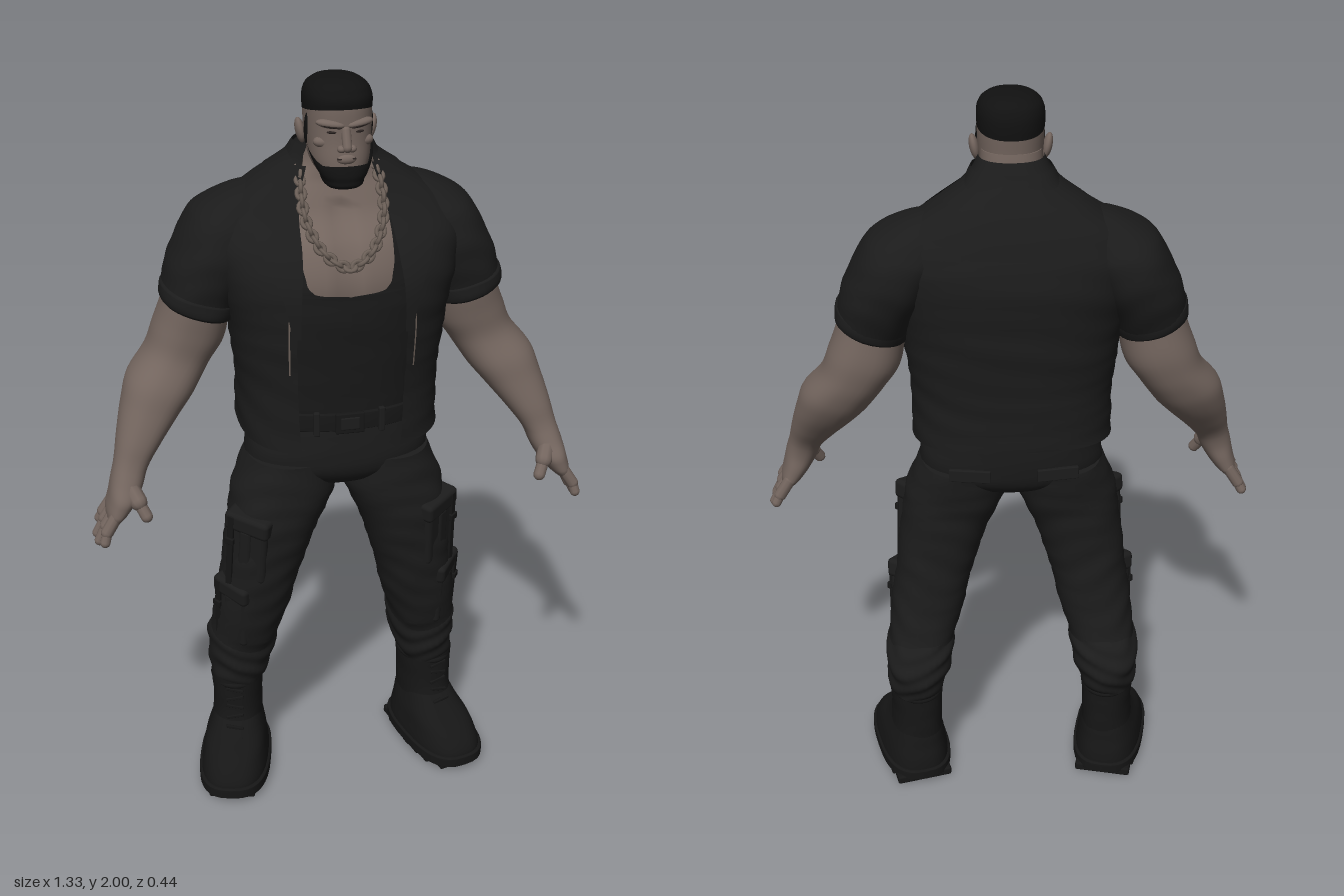
import * as THREE from 'three';
import { RoundedBoxGeometry } from 'three/addons/geometries/RoundedBoxGeometry.js';

const mat = (name, color, side = THREE.FrontSide) => {
  const m = new THREE.MeshStandardMaterial({ color, side });
  m.name = name;
  return m;
};

// Smooth skin over horizontal superellipse rings [y, x, z, rx, rz, (front gap), (strip outer x)].
// A front gap leaves the skin open at +z; an outer x keeps only a strip on the +x side.
function loft(list, { p = 2.3, seg = 36, sub = 5, wr = 0, tilt = 0, warp } = {}) {
  const R = [...list].sort((a, b) => a[0] - b[0]), n = R[0].length;
  const open = n > 5, strip = n > 6, cols = open ? seg + 1 : seg;
  const secant = (i, k) => (R[i + 1][k] - R[i][k]) / (R[i + 1][0] - R[i][0]);
  const slope = (i, k) => {
    if (i === 0) return secant(0, k);
    if (i === R.length - 1) return secant(i - 1, k);
    const a = secant(i - 1, k), b = secant(i, k);
    return a * b <= 0 ? 0 : Math.sign(a) * Math.min(Math.abs(a + b) / 2, 3 * Math.abs(a), 3 * Math.abs(b));
  };
  const rows = [];
  for (let i = 0; i < R.length - 1; i++) for (let s = 0; s < sub; s++) {
    const t = s / sub, h = R[i + 1][0] - R[i][0], t2 = t * t, t3 = t2 * t;
    rows.push(R[i].map((v, k) => k === 0 ? v + h * t
      : (2 * t3 - 3 * t2 + 1) * v + (t3 - 2 * t2 + t) * h * slope(i, k)
      + (3 * t2 - 2 * t3) * R[i + 1][k] + (t3 - t2) * h * slope(i + 1, k)));
  }
  rows.push(R[R.length - 1]);
  const pow = c => Math.sign(c) * Math.abs(c) ** (2 / p);
  const pos = [], idx = [], v = new THREE.Vector3();
  for (const [y, x, z, rx, rz, gap = 0, outer = 0] of rows) {
    const th = g => Math.acos(Math.min(1, Math.max(0, g / rx)) ** (p / 2));
    const a0 = th(gap), a1 = strip ? th(outer) : -Math.PI - a0;
    for (let j = 0; j < cols; j++) {
      const a = a0 + (a1 - a0) * j / seg;
      const f = 1 + wr * (Math.sin(y * 95 + 3 * Math.sin(a * 2 + y * 9)) + 0.6 * Math.sin(y * 41 - 4 * Math.cos(a)));
      const dx = rx * f * pow(Math.cos(a));
      v.set(x + dx, y + tilt * dx, z + rz * f * pow(Math.sin(a)));
      if (warp) warp(v);
      pos.push(v.x, v.y, v.z);
    }
  }
  for (let i = 0; i < rows.length - 1; i++) for (let j = 0; j < seg; j++) {
    const a = i * cols + j, b = i * cols + (j + 1) % cols, c = a + cols, d = b + cols;
    idx.push(a, b, c, b, d, c);
  }
  if (!open) for (const i of [0, rows.length - 1]) {
    const base = pos.length / 3;
    for (let k = 0; k < cols * 3; k++) pos.push(pos[i * cols * 3 + k]);
    pos.push(rows[i][1], rows[i][0], rows[i][2]);
    for (let j = 0; j < cols; j++) {
      const a = base + j, b = base + (j + 1) % cols, c = base + cols;
      i ? idx.push(c, a, b) : idx.push(c, b, a);
    }
  }
  const g = new THREE.BufferGeometry();
  g.setAttribute('position', new THREE.Float32BufferAttribute(pos, 3));
  g.setIndex(idx);
  g.computeVertexNormals();
  return g;
}

const place = (g, x, y, z, rx = 0, ry = 0, rz = 0) =>
  g.applyMatrix4(new THREE.Matrix4().makeRotationFromEuler(new THREE.Euler(rx, ry, rz, 'YXZ')).setPosition(x, y, z));
const box = (w, h, d, ...at) => place(new RoundedBoxGeometry(w, h, d, 2, Math.min(w, h, d) * 0.25), ...at);
const ball = (a, b, c, ...at) => place(new THREE.SphereGeometry(1, 18, 12).scale(a, b, c), ...at);
function capsule(a, b, r) {
  const A = new THREE.Vector3(...a), B = new THREE.Vector3(...b), d = B.clone().sub(A);
  const q = new THREE.Quaternion().setFromUnitVectors(new THREE.Vector3(0, 1, 0), d.clone().normalize());
  return new THREE.CapsuleGeometry(r, d.length(), 5, 10).applyQuaternion(q).translate(...A.add(B).multiplyScalar(0.5).toArray());
}
function mirror(src) {
  const g = src.clone().applyMatrix4(new THREE.Matrix4().makeScale(-1, 1, 1));
  const ix = g.index ? Array.from(g.index.array) : Array.from({ length: g.attributes.position.count }, (_, i) => i);
  for (let i = 0; i < ix.length; i += 3) [ix[i], ix[i + 1]] = [ix[i + 1], ix[i]];
  g.setIndex(ix);
  return g;
}

export function createModel() {
  const root = new THREE.Group();
  root.name = 'muscularMan';
  const skin = mat('skin', 0x73655e), hair = mat('hair', 0x111111, THREE.DoubleSide);
  const vestCloth = mat('vest cloth', 0x1b1b1b, THREE.DoubleSide), tankCloth = mat('tank cloth', 0x191919, THREE.DoubleSide);
  const trouser = mat('trouser cloth', 0x1c1c1c), leather = mat('leather', 0x161616), metal = mat('metal', 0x6c6058);
  const dark = mat('dark line', 0x2a2321);
  const add = (name, g, m) => { const o = new THREE.Mesh(g, m); o.name = name; root.add(o); };
  const pair = (name, g, m) => { add(name + 'Left', g, m); add(name + 'Right', mirror(g), m); };

  // Chest and neck, with a groove between the pectorals
  add('chestAndNeck', loft([[1.4, 0, 0, .22, .165], [1.5, 0, 0, .245, .178], [1.6, 0, -.02, .24, .17], [1.68, 0, -.045, .22, .134],
    [1.74, 0, -.045, .155, .11], [1.78, 0, -.03, .1, .092], [1.82, 0, -.012, .08, .076], [1.87, 0, -.003, .075, .073]], {
    seg: 64, warp: v => { if (v.z > 0 && v.y < 1.7) v.z -= .014 * Math.exp(-((v.x / .016) ** 2)); } }), skin);

  // Head, ears, nose, brows and eyes
  add('head', loft([[1.746, 0, .083, .026, .034], [1.77, 0, .068, .051, .066], [1.8, 0, .045, .07, .089], [1.84, 0, .03, .078, .1],
    [1.88, 0, .026, .081, .101], [1.93, 0, .024, .082, .103], [1.97, 0, .022, .072, .088], [1.99, 0, .02, .045, .06]]), skin);
  pair('ear', ball(.012, .032, .02, .089, 1.865, .012, 0, 0, -.2), skin);
  add('nose', capsule([0, 1.885, .122], [0, 1.848, .138], .012), skin);
  pair('nostril', ball(.011, .009, .012, .013, 1.844, .132), skin);
  pair('cheek', ball(.03, .016, .02, .044, 1.855, .092), skin);
  pair('browRidge', ball(.036, .011, .016, .036, 1.901, .113, 0, .3, .12), skin);
  pair('eyebrow', ball(.027, .0035, .006, .037, 1.897, .123, 0, .35, .15), dark);
  pair('eye', ball(.012, .0035, .005, .034, 1.882, .119, 0, .3), dark);
  add('mouth', box(.046, .0035, .008, 0, 1.82, .133), dark);
  add('lips', ball(.024, .012, .01, 0, 1.818, .129), skin);

  // Cropped hair, beard rising along the jaw, and sideburns
  add('hair', loft([[1.915, 0, .023, .0825, .1035], [1.935, 0, .023, .0835, .105], [1.965, 0, .022, .08, .099], [1.985, 0, .022, .064, .082],
    [1.996, 0, .02, .037, .05], [2, 0, .02, .006, .01]], { warp: v => { v.y += .16 * (v.z + .01) * Math.max(0, (1.97 - v.y) / .06); } }), hair);
  add('beard', loft([[1.738, 0, -.083, .006, .008, .0058], [1.743, 0, -.083, .032, .042, .031], [1.767, 0, -.072, .057, .073, .055],
    [1.79, 0, -.054, .075, .09, .073], [1.803, 0, -.046, .081, .094, .079]], {
    warp: v => { v.y += .6 * Math.max(0, v.z + .12) * (v.y - 1.738) / .065; } }).rotateY(Math.PI), hair);
  pair('sideburn', ball(.006, .04, .012, .079, 1.877, .042, .2), hair);

  // Scoop-neck tank top
  add('tankTop', loft([[1.13, 0, .005, .225, .16, 0], [1.22, 0, .005, .235, .168, 0], [1.35, 0, .005, .25, .18, 0], [1.45, 0, .003, .255, .188, 0],
    [1.49, 0, 0, .255, .188, 0], [1.496, 0, 0, .255, .187, .07], [1.506, 0, 0, .255, .186, .095], [1.54, 0, -.005, .253, .183, .11],
    [1.6, 0, -.02, .247, .177, .116], [1.68, 0, -.045, .227, .141, .116], [1.74, 0, -.045, .163, .117, .106]],
    { seg: 60, wr: .003 }), tankCloth);

  // Open vest, with lapels, collar and zips following its surface
  const vest = [[1.105, 0, 0, .263, .208, .13], [1.2, 0, 0, .26, .206, .135], [1.3, 0, .002, .267, .21, .138], [1.4, 0, .002, .28, .218, .14],
    [1.5, 0, -.002, .3, .22, .137], [1.6, 0, -.022, .32, .198, .127], [1.68, 0, -.046, .285, .147, .12], [1.74, 0, -.05, .202, .116, .105],
    [1.785, 0, -.042, .13, .093, .09], [1.83, 0, -.026, .098, .08, .082]];
  const hem = v => { if (v.y < 1.3) v.y -= .13 * v.z * (1.3 - v.y) / .2; };
  add('vest', loft(vest, { p: 2.7, seg: 72, wr: .006, warp: hem }), vestCloth);
  const overlay = (lo, hi, grow, span) => loft(vest.filter(r => r[0] >= lo && r[0] <= hi)
    .map(([y, x, z, rx, rz, gap]) => [y, x, z, rx + grow, rz + grow, ...span(y, gap)]), { p: 2.7, seg: 14 });
  const lapelWidth = { 1.4: .012, 1.5: .035, 1.6: .085, 1.68: .11, 1.74: .075, 1.785: .025 };
  pair('lapel', overlay(1.4, 1.785, .008, (y, g) => [g - .008, g + lapelWidth[y]]), vestCloth);
  pair('zip', overlay(1.3, 1.5, .006, (y, g) => [g + .018, g + .022]), metal);
  add('collar', loft([[1.762, 0, -.048, .174, .112, .11], [1.79, 0, -.041, .132, .096, .095], [1.82, 0, -.025, .099, .084, .08],
    [1.852, 0, -.008, .08, .074, .072]]), vestCloth);

  // Sleeves flowing down from the shoulder slope, with rolled cuffs
  pair('sleeve', loft([[1.72, .175, -.055, .04, .05], [1.7, .19, -.055, .068, .08], [1.668, .23, -.055, .087, .114], [1.63, .265, -.055, .097, .14],
    [1.56, .302, -.05, .099, .151], [1.5, .332, -.045, .095, .142], [1.43, .355, -.037, .089, .124]], { tilt: .3, wr: .008 }), vestCloth);
  pair('sleeveCuff', loft([[1.418, .355, -.034, .086, .12], [1.425, .355, -.034, .092, .127], [1.455, .349, -.036, .094, .131],
    [1.463, .347, -.036, .089, .126]], { tilt: .3, wr: .008 }), vestCloth);

  // Bare arms, palms, fingers and thumbs
  pair('arm', loft([[1.5, .34, -.045, .08, .105], [1.42, .355, -.049, .085, .106], [1.35, .376, -.054, .09, .104], [1.29, .408, -.05, .083, .098],
    [1.23, .452, -.028, .087, .1], [1.17, .487, -.003, .075, .09], [1.1, .525, .035, .057, .071], [1.04, .553, .065, .043, .055],
    [1, .567, .08, .041, .06], [.96, .583, .09, .035, .072], [.93, .598, .09, .028, .072], [.912, .607, .09, .02, .066]], { tilt: .25 }), skin);
  [[.033, .024, .866, .641], [.07, .068, .846, .651], [.107, .112, .847, .649], [.142, .155, .862, .637]].forEach(([z0, z1, y, x], i) => {
    const mid = [.63, .887, (z0 + z1) / 2];
    pair('finger' + i, capsule([.602, .93, z0], mid, .0165), skin);
    pair('fingertip' + i, capsule(mid, [x, y, z1], .0135), skin);
  });
  pair('thumbBase', capsule([.565, 1, .11], [.545, .965, .145], .023), skin);
  pair('thumb', capsule([.545, .965, .145], [.528, .93, .163], .016), skin);

  // Neck chain of alternating links
  const path = new THREE.CatmullRomCurve3([[.088, 1.8, 0], [.1, 1.745, .06], [.095, 1.66, .117], [.055, 1.59, .161], [0, 1.562, .175],
    [-.055, 1.59, .161], [-.095, 1.66, .117], [-.1, 1.745, .06], [-.088, 1.8, 0]].map(a => new THREE.Vector3(...a)));
  const links = 38;
  for (let i = 0; i <= links; i++) {
    const t = path.getTangentAt(i / links);
    const g = new THREE.TorusGeometry(.0105, .0058, 6, 12).scale(1.25, 1, 1).rotateX(i % 2 ? .9 : -.6);
    g.applyQuaternion(new THREE.Quaternion().setFromUnitVectors(new THREE.Vector3(1, 0, 0), t));
    add('chainLink' + i, g.translate(...path.getPointAt(i / links).toArray()), metal);
  }

  // Hips, belt and buckle
  add('hips', loft([[1.17, 0, .003, .224, .156], [1.1, 0, .005, .236, .162], [1.02, 0, .01, .245, .157], [.97, 0, .012, .2, .135],
    [.94, 0, .015, .09, .09], [.93, 0, .015, .03, .05]], { wr: .004 }), trouser);
  add('belt', loft([[1.122, 0, .005, .234, .166], [1.126, 0, .005, .24, .172], [1.168, 0, .005, .236, .17], [1.172, 0, .005, .23, .164]]), leather);
  add('buckle', box(.075, .056, .014, 0, 1.147, .178), leather);
  add('bucklePlate', box(.05, .034, .014, 0, 1.147, .181), trouser);
  pair('beltLoop', box(.016, .066, .014, .085, 1.147, .171, 0, .12), trouser);
  pair('backPocketFlap', box(.11, .035, .012, .115, 1.03, -.142, 0, -.15), trouser);

  // Trouser legs, with bunched folds above the boots
  pair('trouserLeg', loft([[1.02, .125, .01, .118, .15], [.93, .144, .02, .137, .143], [.85, .17, .025, .127, .137], [.75, .196, .022, .115, .127],
    [.65, .217, .013, .106, .12], [.55, .237, -.001, .102, .114], [.45, .257, -.024, .092, .111], [.4, .264, -.04, .088, .11]], { wr: .014 }), trouser);
  pair('trouserFolds', loft([[.47, .252, -.022, .088, .108], [.42, .262, -.04, .094, .118], [.36, .268, -.048, .089, .115], [.31, .274, -.047, .08, .1],
    [.285, .277, -.046, .07, .09]], { wr: .032, sub: 9 }), trouser);

  // Cargo pockets with flaps and straps
  [[.254, .775, .1, .12, .2, .7], [.288, .55, .05, .11, .2, .95]].forEach(([x, y, z, w, h, yaw], i) => {
    const part = (name, bw, bh, bd, dx, dy, out, m) =>
      pair(name + i, place(box(bw, bh, bd, dx, dy, out), x, y, z, .1, yaw, .13), m);
    part('cargoPocket', w, h, .058, 0, 0, 0, trouser);
    part('pocketPleat', w * .3, h * .8, .063, 0, -.015, .003, trouser);
    part('pocketFlap', w + .012, .055, .069, 0, h / 2 - .02, 0, trouser);
    part('pocketStrap', .018, h + .04, .01, w * .36, -.02, .031, leather);
    part('strapBuckle', .026, .02, .012, w * .36, .02, .035, leather);
  });

  // Boots: shaft, foot, welt, lugs and laces, turned slightly outward
  const boot = (name, g, m = leather) => pair(name, place(g, .291, 0, 0, 0, .24), m);
  boot('bootShaft', loft([[.33, -.002, -.048, .066, .084], [.3, -.002, -.046, .073, .091], [.22, -.002, -.046, .07, .09], [.15, 0, -.04, .072, .096],
    [.1, .003, -.025, .078, .115]], { wr: .008 }));
  boot('bootTop', place(new THREE.TorusGeometry(1, .12, 8, 32).rotateX(Math.PI / 2).scale(.068, .08, .086), -.002, .285, -.047));
  boot('bootFoot', loft([[.17, 0, -.04, .066, .088], [.14, .001, -.024, .075, .113], [.11, .003, .002, .085, .145], [.08, .004, .015, .091, .167],
    [.055, .004, .021, .095, .177], [.035, .004, .022, .096, .179]], { p: 2.6 }));
  boot('bootWelt', loft([[.014, .004, .022, .097, .18], [.018, .004, .022, .102, .186], [.043, .004, .022, .102, .186], [.047, .004, .022, .097, .18]], { p: 2.7 }));
  for (let i = 0; i < 7; i++) {
    const z = -.125 + i * .048, w = .16 + .03 * Math.sin(i / 6 * Math.PI) - (i === 6 ? .03 : 0);
    boot('soleLug' + i, box(w, .026, i < 2 ? .047 : .036, .004, .013, z));
  }
  for (let i = 0; i < 6; i++) {
    const y = .13 + i * .028, z = [.088, .066, .05][i] ?? .044 - i * .0005;
    boot('lace' + i, box(.05, .009, .008, 0, y, z, 0, 0, i % 2 ? .2 : -.2));
  }
  return root;
}
